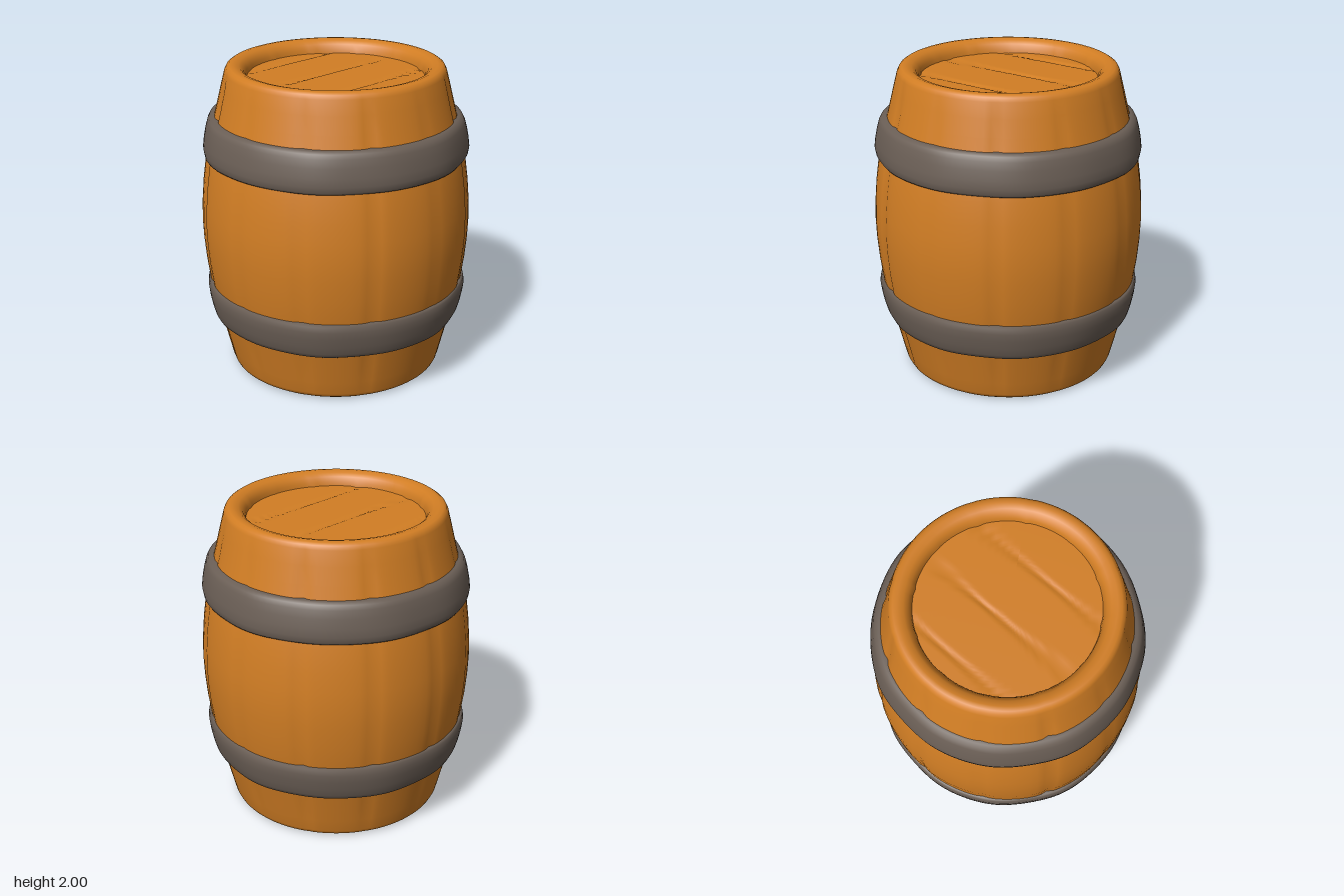
import * as THREE from 'three';
import { mergeVertices } from 'three/addons/utils/BufferGeometryUtils.js';

const SEGMENTS = 120;
const STAVES = 12;

const wood = new THREE.MeshStandardMaterial({ color: 0xd27e24 });
wood.name = 'orange wood';
const iron = new THREE.MeshStandardMaterial({ color: 0x6b5f56 });
iron.name = 'dark iron';

// Smooth surface of revolution; points run from bottom to top on the outside
function turned(points, displace) {
  let geo = new THREE.LatheGeometry(points, SEGMENTS);
  geo.deleteAttribute('uv');
  geo.deleteAttribute('normal');
  const pos = geo.attributes.position;
  for (let i = 0; i < pos.count; i++) {
    const x = pos.getX(i), y = pos.getY(i), z = pos.getZ(i);
    const r = Math.hypot(x, z);
    const k = displace(r, Math.atan2(x, z), y) / r;
    pos.setXYZ(i, x * k, y, z * k);
  }
  geo = mergeVertices(geo, 1e-4);
  geo.computeVertexNormals();
  return geo;
}

// Shallow groove at every stave joint, fading out at the rims
function staveRadius(r, angle, y) {
  const step = (Math.PI * 2) / STAVES;
  const index = Math.round(angle / step);
  const d = Math.abs(angle - index * step);
  const depth = 0.010 + 0.005 * Math.sin(index * 2.4);
  const fade = Math.min(1, Math.max(0.15, (1 - Math.abs(y - 1)) * 5));
  return r - depth * fade * Math.exp(-((d / 0.04) ** 2));
}

// Slight hammered waviness of the hoops
function hoopRadius(r, angle) {
  return r + 0.003 * Math.sin(angle * 7 + 1) + 0.002 * Math.sin(angle * 12);
}

// Disc with diagonal plank joints pressed into it
function headGeometry() {
  const geo = new THREE.RingGeometry(0.001, 0.575, 72, 36);
  geo.rotateX(-Math.PI / 2);
  const pos = geo.attributes.position;
  for (let i = 0; i < pos.count; i++) {
    const s = pos.getX(i) * 0.86 + pos.getZ(i) * 0.51 + 0.08;
    const d = s - Math.round(s / 0.355) * 0.355;
    pos.setY(i, -0.01 * Math.exp(-((d / 0.016) ** 2)));
  }
  geo.computeVertexNormals();
  return geo;
}

export function createModel() {
  const barrel = new THREE.Group();
  barrel.name = 'barrel';

  const add = (name, geo, material, y = 0) => {
    const mesh = new THREE.Mesh(geo, material);
    mesh.name = name;
    mesh.position.y = y;
    barrel.add(mesh);
    return mesh;
  };

  // Bulging stave wall, rolling over both rims into the recessed heads
  const half = [
    [0.555, 0.09], [0.56, 0.06], [0.575, 0.03], [0.60, 0.01], [0.635, 0], [0.662, 0.004],
    [0.68, 0.016], [0.692, 0.04], [0.715, 0.13], [0.742, 0.24], [0.772, 0.36],
    [0.80, 0.47], [0.826, 0.6], [0.845, 0.74], [0.857, 0.88],
  ].map(([r, y]) => new THREE.Vector2(r, y));
  const wall = [
    ...half,
    new THREE.Vector2(0.861, 1),
    ...half.map((p) => new THREE.Vector2(p.x, 2 - p.y)).reverse(),
  ];
  add('staves', turned(wall, staveRadius), wood);

  // Iron hoops, wider toward the belly
  const hoop = [
    [0.79, 0], [0.829, 0.001], [0.838, 0.015], [0.844, 0.05], [0.838, 0.10],
    [0.826, 0.16], [0.812, 0.21], [0.798, 0.237], [0.775, 0.25], [0.74, 0.252],
  ].map(([r, y]) => new THREE.Vector2(r, y));
  const flipped = hoop.map((p) => new THREE.Vector2(p.x, -p.y)).reverse();
  add('upperHoop', turned(hoop, hoopRadius), iron, 1.43);
  add('lowerHoop', turned(flipped, hoopRadius), iron, 0.595);

  // Recessed plank heads
  const head = headGeometry();
  add('topHead', head, wood, 1.915);
  add('bottomHead', head, wood, 0.085).rotation.x = Math.PI;

  return barrel;
}
